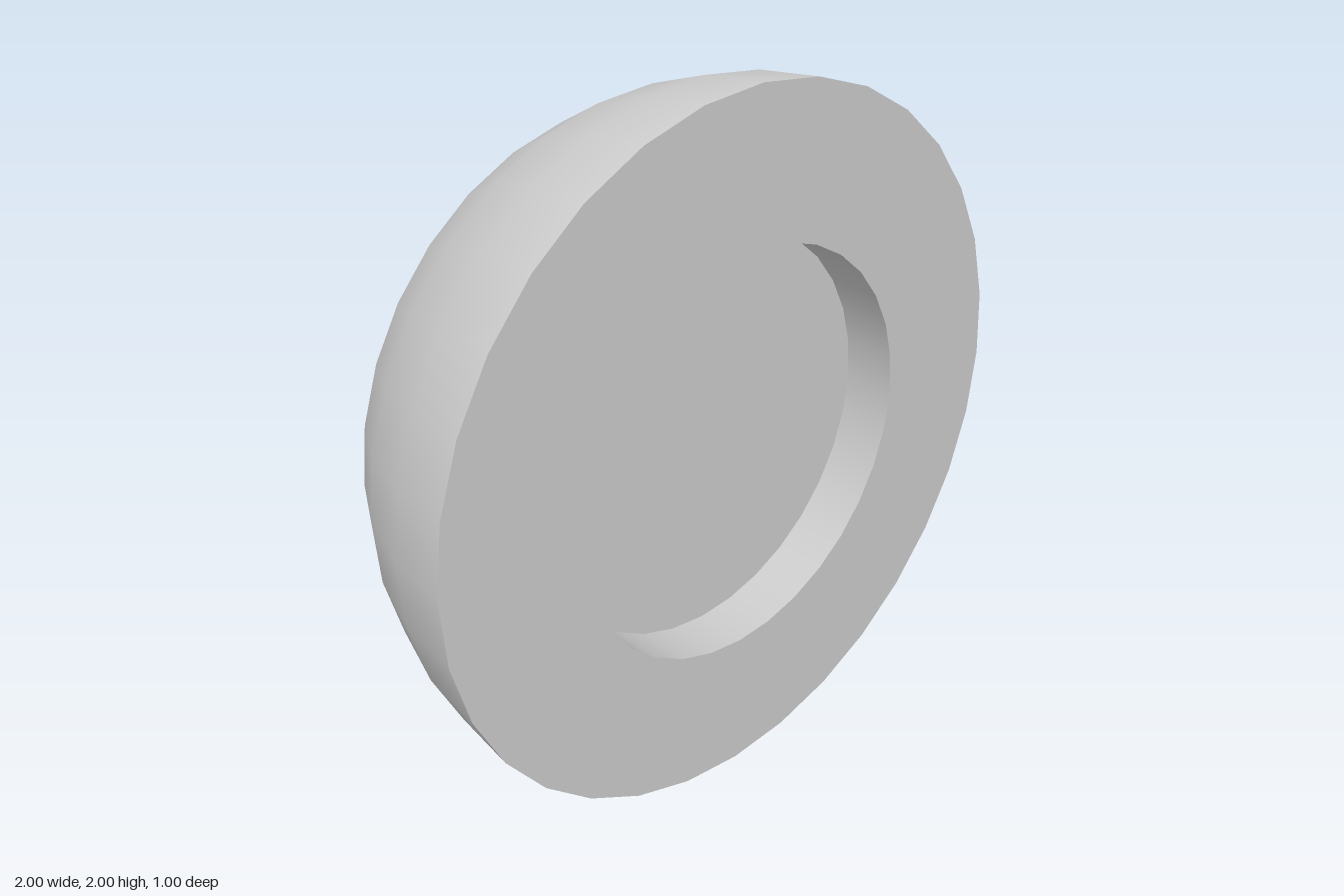
import * as THREE from 'three';

const SIDES = 32;
const RADIUS = 1;
const RECESS_RADIUS = 0.585;
const RECESS_DEPTH = 0.155;
const FRONT_Z = 0.5;

export function createModel() {
  const model = new THREE.Group();
  model.name = 'recessedHemisphere';
  const material = new THREE.MeshStandardMaterial({ color: 0xcccccc });

  const add = (name, geometry, z) => {
    const mesh = new THREE.Mesh(geometry, material);
    mesh.name = name;
    mesh.position.set(0, RADIUS, z);
    model.add(mesh);
  };

  // Domed back, its pole pointing to -z
  const dome = new THREE.SphereGeometry(RADIUS, SIDES, SIDES / 4, 0, Math.PI * 2, 0, Math.PI / 2);
  add('domeShell', dome.rotateX(-Math.PI / 2), FRONT_Z);

  // Flat front rim around the recess
  add('frontRim', new THREE.RingGeometry(RECESS_RADIUS, RADIUS, SIDES), FRONT_Z);

  // Recess wall, facing inwards (profile runs from the rim down to the floor)
  const wall = new THREE.LatheGeometry([
    new THREE.Vector2(RECESS_RADIUS, 0),
    new THREE.Vector2(RECESS_RADIUS, -RECESS_DEPTH),
  ], SIDES);
  add('recessWall', wall.rotateX(Math.PI / 2), FRONT_Z);

  // Recess floor
  add('recessFloor', new THREE.CircleGeometry(RECESS_RADIUS, SIDES), FRONT_Z - RECESS_DEPTH);

  return model;
}
